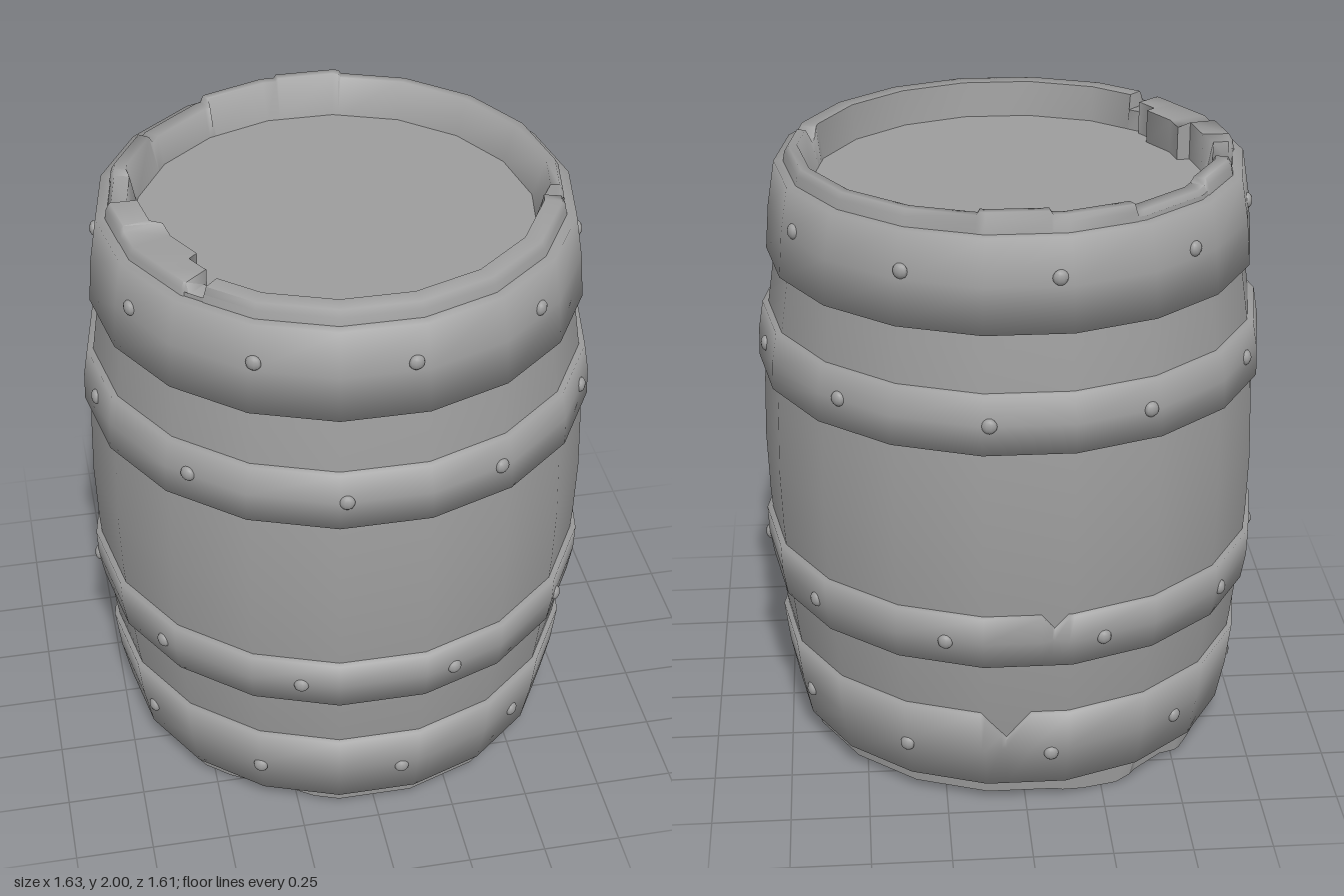
import * as THREE from 'three';
import { toCreasedNormals } from 'three/addons/utils/BufferGeometryUtils.js';

const SIDES = 18;
const RAD = Math.PI / 180;
const material = new THREE.MeshStandardMaterial({ color: 0x9d9d9d, side: THREE.DoubleSide });

// Angles are in degrees, from +z towards +x; polygon corners sit at 10, 30, 50...
const corners = Array.from({ length: SIDES }, (_, i) => 10 + i * 20);

// Point on the 18-sided outline
function onPolygon(r, y, deg) {
  const fromMid = (((deg + 10) % 20) + 20) % 20 - 10;
  const d = r * Math.cos(10 * RAD) / Math.cos(fromMid * RAD);
  return [d * Math.sin(deg * RAD), y, d * Math.cos(deg * RAD)];
}

// Sweep a profile (which may change with the angle) around the barrel
function ring(profileAt, crease, extraAngles = []) {
  const angles = [...new Set([...corners, ...extraAngles.map(a => (a + 360) % 360)])].sort((a, b) => a - b);
  const n = profileAt(0).length;
  const pos = [], index = [];
  angles.forEach((a, i) => {
    for (const [r, y] of profileAt(a)) pos.push(...onPolygon(r, y, a));
    const next = (i + 1) % angles.length;
    for (let j = 0; j < n - 1; j++) {
      const p = i * n + j, q = next * n + j;
      index.push(p, q, q + 1, p, q + 1, p + 1);
    }
  });
  const g = new THREE.BufferGeometry();
  g.setAttribute('position', new THREE.Float32BufferAttribute(pos, 3));
  g.setIndex(index);
  return toCreasedNormals(g, crease);
}

function add(group, name, geometry) {
  const mesh = new THREE.Mesh(geometry, material);
  mesh.name = name;
  group.add(mesh);
  return mesh;
}

// Worn stave ends: [from, to, top height, inner radius at the top]
const topStaves = [
  [0, 73, 1.982, 0.635], [73, 77, 1.945, 0.64], [77, 168, 1.987, 0.66], [168, 186, 1.998, 0.66],
  [186, 208, 1.987, 0.66], [208, 234, 1.965, 0.64], [234, 253, 1.985, 0.65], [253, 270, 1.965, 0.64],
  [270, 282, 1.99, 0.605], [282, 303, 1.975, 0.565], [303, 311, 1.975, 0.6], [311, 316, 1.935, 0.62],
  [316, 360, 1.982, 0.635],
];
// Splintered and chipped lower ends: [angle, height]
const bottomWear = [[188, 0.03], [196, 0.01], [206, 0], [212, 0.025], [222, 0.03], [228, 0.01], [236, 0.015],
  [243, 0.03], [318, 0.03], [324, 0.045], [334, 0.06], [343, 0.03]];

function bottomHeight(a) {
  for (let i = 0; i < bottomWear.length - 1; i++) {
    const [a0, y0] = bottomWear[i], [a1, y1] = bottomWear[i + 1];
    if (a >= a0 && a <= a1) return y0 + (y1 - y0) * (a - a0) / (a1 - a0);
  }
  return 0.03;
}

// Hoops: lower edge and upper edge as [radius, y], rivet height and phase, optional notch in the upper edge
const hoops = [
  { name: 'bottomHoop', low: [0.723, 0.08], high: [0.768, 0.362], rivetY: 0.205, phase: 6, notch: { at: 175, half: 6, depth: 0.1 } },
  { name: 'lowerMiddleHoop', low: [0.79, 0.552], high: [0.808, 0.732], rivetY: 0.635, phase: 17.3, notch: { at: 186, half: 3, depth: 0.05 } },
  { name: 'upperMiddleHoop', low: [0.808, 1.286], high: [0.79, 1.47], rivetY: 1.38, phase: -8.5 },
  { name: 'topHoop', low: [0.77, 1.652], high: [0.735, 1.937], rivetY: 1.82, phase: 7 },
];

// Softly shaded band with its edges turned in to the wall
function hoopGeometry({ low, high, notch }) {
  const bulge = [(low[0] + high[0]) / 2 + 0.006, (low[1] + high[1]) / 2];
  const profileAt = a => {
    const cut = notch ? Math.max(0, 1 - Math.abs(a - notch.at) / notch.half) : 0;
    const top = high[1] - cut * (notch ? notch.depth : 0);
    const dent = cut * 0.015;
    return [[low[0] - 0.045, low[1]], low, [bulge[0] - dent, bulge[1]],
      [high[0] - dent, top], [high[0] - 0.045, top]];
  };
  const extra = notch ? [-1, -0.2, 0, 1].map(k => notch.at + k * notch.half) : [];
  return ring(profileAt, 2, extra);
}

export function createModel() {
  const barrel = new THREE.Group();
  barrel.name = 'barrel';

  // Bulging stave wall
  const wall = [[0.695, 0.06], [0.728, 0.22], [0.757, 0.4], [0.778, 0.58], [0.794, 0.8], [0.8, 1],
    [0.794, 1.2], [0.778, 1.42], [0.752, 1.6], [0.725, 1.78], [0.7, 1.95]];
  add(barrel, 'staveWall', ring(() => wall, 0.6));

  // Upper rim with uneven stave ends
  const topAngles = topStaves.flatMap(([from, to]) => [from + 0.3, to - 0.3]);
  add(barrel, 'topRim', ring(a => {
    const [, , y, inner] = topStaves.find(s => a >= s[0] && a < s[1]);
    return [[0.712, 1.9], [0.7, y - 0.02], [0.688, y], [inner, y], [Math.min(inner, 0.62), 1.865]];
  }, 1.4, topAngles));

  // Lower rim with splinters
  add(barrel, 'bottomRim', ring(a => {
    const y = bottomHeight(a);
    return [[0.62, 0.125], [0.635, y], [0.692, y], [0.7, 0.1]];
  }, 1.4, bottomWear.map(w => w[0])));

  // Recessed round ends
  const lid = add(barrel, 'lid', new THREE.CircleGeometry(0.625, SIDES));
  lid.rotation.x = -Math.PI / 2;
  lid.position.y = 1.868;
  const base = add(barrel, 'base', new THREE.CircleGeometry(0.625, SIDES));
  base.rotation.x = Math.PI / 2;
  base.position.y = 0.122;

  // Hoops, each with ten domed rivets
  const rivetGeometry = new THREE.SphereGeometry(0.024, 10, 8);
  for (const hoop of hoops) {
    add(barrel, hoop.name, hoopGeometry(hoop));
    const t = (hoop.rivetY - hoop.low[1]) / (hoop.high[1] - hoop.low[1]);
    const r = hoop.low[0] + (hoop.high[0] - hoop.low[0]) * t + 0.005;
    for (let i = 0; i < 10; i++) {
      const a = hoop.phase + i * 36 + 360;
      const rivet = add(barrel, 'rivet', rivetGeometry);
      rivet.position.set(...onPolygon(r, hoop.rivetY, a));
      rivet.rotation.y = a * RAD;
      rivet.scale.z = 0.65;
    }
  }
  return barrel;
}
